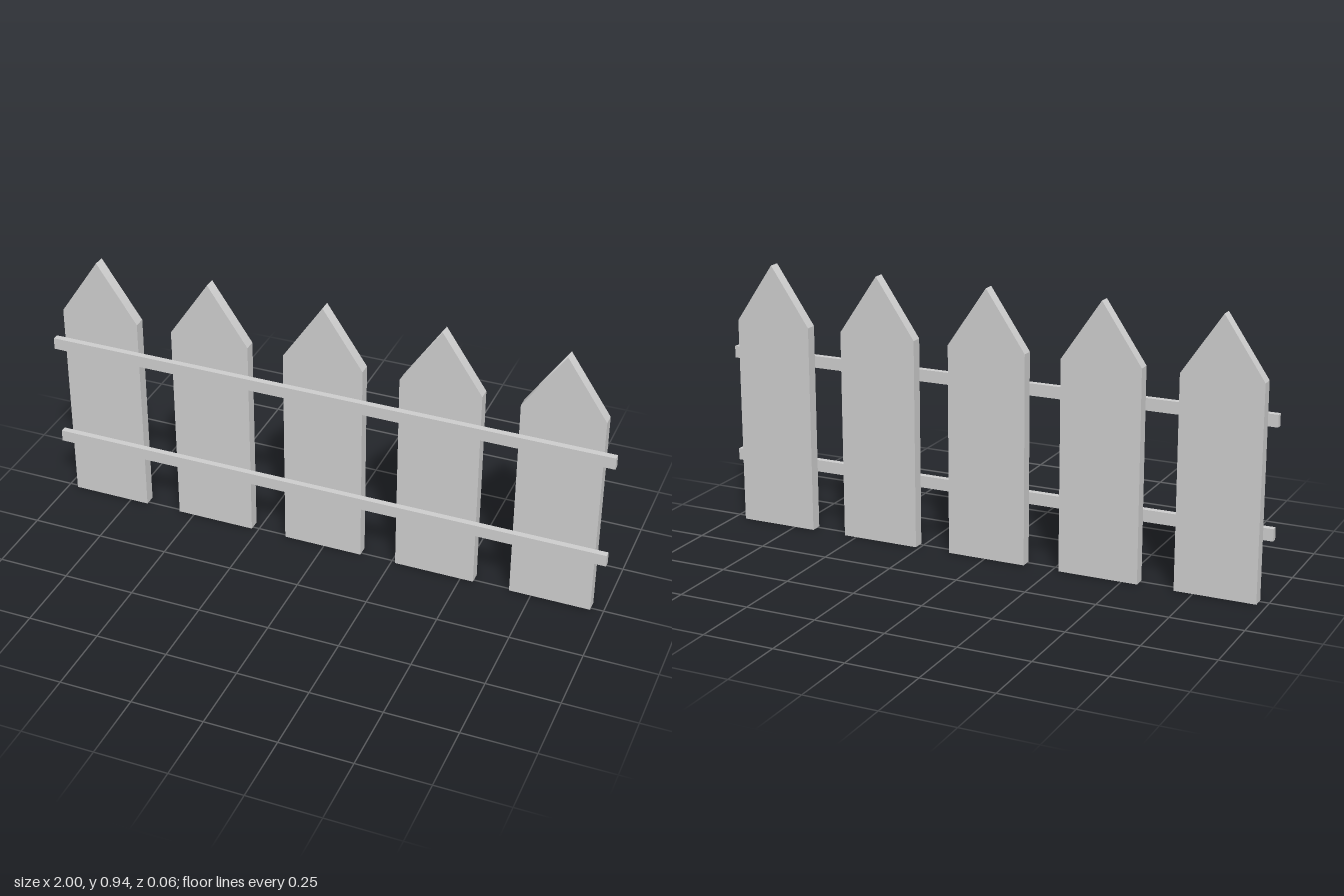
import * as THREE from 'three';

const PICKETS = 5, SPACING = 0.41, HALF_WIDTH = 0.141;
const HEIGHT = 0.945, SHOULDER = 0.737;
const BACK = -0.031, JOINT = 0.01, FRONT = 0.032;

// Pointed board, with its two sloping faces shaded smoothly over the tip
function picketGeometry() {
  const outline = new THREE.Shape([
    new THREE.Vector2(-HALF_WIDTH, 0),
    new THREE.Vector2(HALF_WIDTH, 0),
    new THREE.Vector2(HALF_WIDTH, SHOULDER),
    new THREE.Vector2(0, HEIGHT),
    new THREE.Vector2(-HALF_WIDTH, SHOULDER),
  ]);
  const geometry = new THREE.ExtrudeGeometry(outline, { depth: JOINT - BACK, bevelEnabled: false });
  geometry.translate(0, 0, BACK);
  const { position, normal } = geometry.attributes;
  for (let i = 0; i < position.count; i++) {
    if (position.getY(i) > HEIGHT - 0.001 && Math.abs(normal.getZ(i)) < 0.5) normal.setXYZ(i, 0, 1, 0);
  }
  return geometry;
}

export function createModel() {
  const fence = new THREE.Group();
  fence.name = 'picketFence';
  const material = new THREE.MeshStandardMaterial({ color: 0xcccccc });

  // Row of pickets
  const board = picketGeometry();
  for (let i = 0; i < PICKETS; i++) {
    const picket = new THREE.Mesh(board, material);
    picket.name = `picket${i + 1}`;
    picket.position.x = -0.005 + (i - (PICKETS - 1) / 2) * SPACING;
    fence.add(picket);
  }

  // Two rails along the front
  const bar = new THREE.BoxGeometry(2, 0.042, FRONT - JOINT);
  for (const [name, y] of [['lowerRail', 0.228], ['upperRail', 0.608]]) {
    const rail = new THREE.Mesh(bar, material);
    rail.name = name;
    rail.position.set(0, y, (FRONT + JOINT) / 2);
    fence.add(rail);
  }
  return fence;
}
